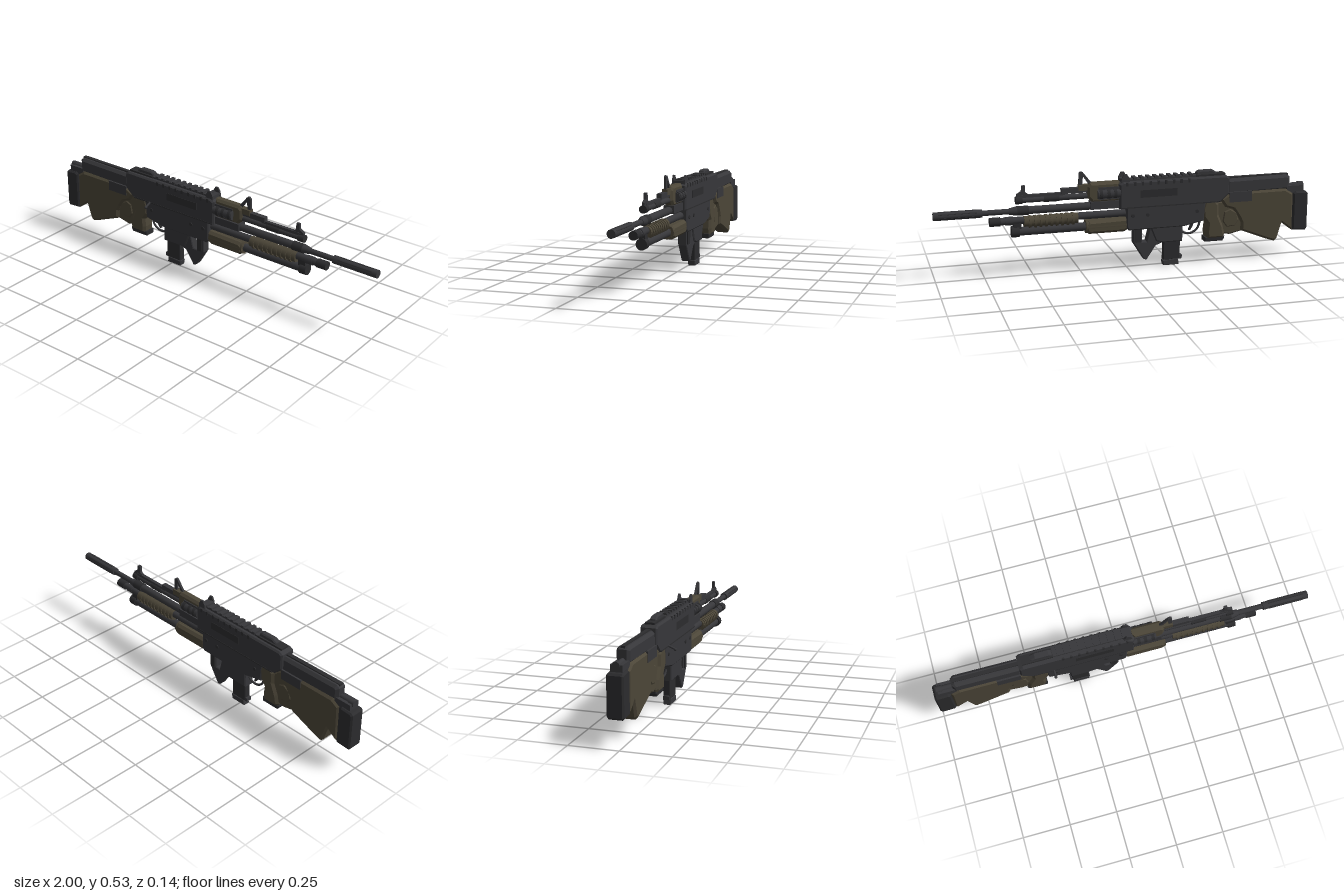
import * as THREE from 'three';

const mat = (name, color) => {
  const m = new THREE.MeshStandardMaterial({ color });
  m.name = name;
  return m;
};

export function createModel() {
  const gun = new THREE.Group();
  gun.name = 'rifle';
  const metal = mat('dark grey metal', 0x37373a);
  const black = mat('near black rubber', 0x2c2c2e);
  const olive = mat('olive brown polymer', 0x4c4638);

  const add = (name, geo, m, x = 0, y = 0, z = 0) => {
    const mesh = new THREE.Mesh(geo, m);
    mesh.name = name;
    mesh.position.set(x, y, z);
    gun.add(mesh);
    return mesh;
  };
  // Box given by its x range, y range, width and side offset
  const box = (name, m, x0, x1, y0, y1, w, z = 0) =>
    add(name, new THREE.BoxGeometry(x1 - x0, y1 - y0, w), m, (x0 + x1) / 2, (y0 + y1) / 2, z);
  // Side outline extruded across the width with chamfered edges
  const plate = (name, m, pts, w, b = 0.006, z = 0, holes = []) => {
    const shape = new THREE.Shape(pts.map(p => new THREE.Vector2(...p)));
    for (const h of holes) shape.holes.push(new THREE.Path(h.map(p => new THREE.Vector2(...p))));
    const geo = new THREE.ExtrudeGeometry(shape, {
      depth: w - 2 * b, bevelEnabled: b > 0, bevelSize: b, bevelThickness: b, bevelOffset: -b, bevelSegments: 1,
    });
    geo.translate(0, 0, -w / 2 + b);
    return add(name, geo, m, 0, 0, z);
  };
  // Cylinder lying along x, r0 at the rear and r1 at the muzzle end
  const tube = (name, m, x0, x1, y, r0, r1 = r0, z = 0, n = 14) =>
    add(name, new THREE.CylinderGeometry(r1, r0, x1 - x0, n).rotateZ(-Math.PI / 2), m, (x0 + x1) / 2, y, z);

  // Stock with butt pad
  plate('buttPad', black, [[-1, 0.15], [-0.99, 0.14], [-0.915, 0.145], [-0.915, 0.35], [-0.93, 0.36], [-0.99, 0.355], [-1, 0.345]], 0.084, 0.008);
  plate('stock', olive, [[-0.915, 0.145], [-0.855, 0.19], [-0.83, 0.105], [-0.815, 0.09], [-0.77, 0.105], [-0.62, 0.165],
    [-0.62, 0.21], [-0.605, 0.24], [-0.575, 0.285], [-0.53, 0.3], [-0.5, 0.345], [-0.56, 0.378], [-0.87, 0.378], [-0.915, 0.35]], 0.08, 0.012);
  plate('stockNeck', olive, [[-0.63, 0.16], [-0.56, 0.145], [-0.53, 0.15], [-0.47, 0.2], [-0.44, 0.33], [-0.63, 0.33]], 0.052, 0.008);
  plate('thumbRest', olive, [[-0.61, 0.22], [-0.59, 0.19], [-0.54, 0.185], [-0.515, 0.22], [-0.525, 0.275], [-0.56, 0.29], [-0.6, 0.265]], 0.062, 0.008);
  box('stockSidePanel', metal, -0.675, -0.55, 0.325, 0.38, 0.084);
  plate('cheekPiece', metal, [[-0.895, 0.37], [-0.54, 0.365], [-0.54, 0.448], [-0.88, 0.452], [-0.897, 0.44]], 0.066, 0.014);
  box('cheekRidge', black, -0.89, -0.55, 0.445, 0.456, 0.02);
  box('stockRearRail', metal, -0.975, -0.88, 0.35, 0.39, 0.06);
  tube('stockRearCap', metal, -0.98, -0.95, 0.387, 0.018);
  tube('stockRearRod', metal, -0.95, -0.89, 0.387, 0.014);

  // Pistol grip
  plate('grip', olive, [[-0.53, 0.15], [-0.52, 0.13], [-0.43, 0.13], [-0.425, 0.17], [-0.43, 0.215], [-0.405, 0.25], [-0.4, 0.3],
    [-0.415, 0.345], [-0.47, 0.35], [-0.495, 0.32], [-0.495, 0.26], [-0.52, 0.2]], 0.078, 0.014);
  plate('gripBase', black, [[-0.53, 0.13], [-0.52, 0.115], [-0.42, 0.115], [-0.42, 0.14], [-0.53, 0.14]], 0.062, 0.004);

  // Receiver
  plate('upperReceiver', metal, [[-0.55, 0.375], [-0.5, 0.33], [0.05, 0.33], [0.05, 0.46], [0.03, 0.472], [-0.53, 0.472], [-0.55, 0.46]], 0.087, 0.008);
  plate('lowerReceiver', metal, [[-0.42, 0.35], [-0.41, 0.235], [-0.3, 0.212], [0, 0.212], [0.012, 0.23], [0.012, 0.35]], 0.078, 0.006);
  box('receiverSeam', black, -0.49, 0.045, 0.332, 0.338, 0.09);
  plate('ejectionCover', black, [[-0.26, 0.385], [-0.06, 0.385], [-0.06, 0.425], [-0.26, 0.425]], 0.09, 0);
  box('receiverBridge', metal, -0.09, 0.2, 0.335, 0.375, 0.055);
  for (const x of [-0.37, -0.1, -0.02]) {
    add('receiverPin', new THREE.CylinderGeometry(0.01, 0.01, 0.086, 10).rotateX(Math.PI / 2), black, x, 0.29);
  }

  // Top rail
  box('railBase', metal, -0.42, 0.03, 0.468, 0.481, 0.045);
  for (let i = 0; i < 10; i++) box('railTooth', metal, -0.35 + i * 0.038, -0.332 + i * 0.038, 0.478, 0.49, 0.052);
  for (let i = 0; i < 9; i++) box('railSideRib', black, -0.33 + i * 0.042, -0.318 + i * 0.042, 0.45, 0.47, 0.09);
  plate('rearSightBlock', metal, [[-0.485, 0.465], [-0.365, 0.465], [-0.375, 0.495], [-0.39, 0.502], [-0.46, 0.502], [-0.485, 0.488]], 0.034, 0.006);
  box('rearSightFoot', black, -0.53, -0.37, 0.465, 0.482, 0.05);

  // Sight ears
  for (const s of [-1, 1]) {
    plate('sightEar', metal, [[-0.005, 0.46], [0.04, 0.46], [0.038, 0.49], [0.025, 0.512], [0.01, 0.512], [-0.003, 0.49]], 0.009, 0, s * 0.031);
  }
  box('sightBridge', metal, -0.003, 0.038, 0.468, 0.486, 0.062);

  // Gas block housing with side lamps
  plate('frontHousing', olive, [[0.045, 0.37], [0.19, 0.37], [0.215, 0.4], [0.215, 0.455], [0.2, 0.474], [0.045, 0.474]], 0.05, 0.012);
  for (const s of [-1, 1]) {
    tube('sideLamp', metal, 0.045, 0.165, 0.415, 0.024, 0.024, s * 0.026, 8);
    for (const x of [0.065, 0.1, 0.14]) tube('sideLampRing', black, x, x + 0.016, 0.415, 0.029, 0.029, s * 0.022, 8);
  }
  box('lampMount', metal, 0.04, 0.16, 0.385, 0.45, 0.06);

  // Folding sight arm in front of the housing
  plate('sightArm', metal, [[0.18, 0.462], [0.205, 0.465], [0.235, 0.51], [0.24, 0.462], [0.258, 0.462], [0.256, 0.525], [0.247, 0.534], [0.235, 0.53], [0.2, 0.485]], 0.012, 0);
  box('sightArmBase', olive, 0.19, 0.26, 0.435, 0.465, 0.03);

  // Gas tube and front sight
  box('gasTubeBlock', metal, 0.2, 0.35, 0.425, 0.452, 0.026);
  tube('gasTube', metal, 0.19, 0.58, 0.405, 0.015);
  tube('gasTubeCollar', black, 0.36, 0.44, 0.405, 0.018);
  tube('gasTubeTip', black, 0.55, 0.585, 0.405, 0.02);
  box('gasTubeTop', metal, 0.33, 0.56, 0.418, 0.432, 0.018);
  plate('frontSight', metal, [[0.52, 0.41], [0.58, 0.41], [0.58, 0.435], [0.555, 0.45], [0.552, 0.48], [0.535, 0.48], [0.535, 0.445], [0.52, 0.435]], 0.014, 0);

  // Barrel and long muzzle sleeve
  tube('barrel', metal, 0.04, 0.52, 0.35, 0.02);
  tube('barrelCollar', black, 0.52, 0.58, 0.35, 0.024);
  tube('barrelStep', metal, 0.58, 0.62, 0.35, 0.024, 0.016);
  tube('barrelFront', metal, 0.62, 0.76, 0.35, 0.014);
  tube('muzzleSleeve', metal, 0.755, 1, 0.35, 0.021);
  for (let i = 0; i < 6; i++) {
    const a = i * Math.PI / 3;
    add('sleeveRib', new THREE.BoxGeometry(0.19, 0.005, 0.005), black, 0.88, 0.35 + 0.0195 * Math.cos(a), 0.0195 * Math.sin(a)).rotation.x = a;
  }

  // Under tube with ribbed shroud
  tube('middleTube', metal, 0, 0.67, 0.3, 0.019);
  tube('middleTubeCollar', metal, 0.6, 0.64, 0.3, 0.022);
  tube('middleTubeTip', black, 0.665, 0.72, 0.3, 0.023);
  tube('ribbedShroud', olive, 0.265, 0.545, 0.292, 0.028, 0.028, 0, 12);
  for (let i = 0; i < 9; i++) tube('shroudRib', olive, 0.285 + i * 0.028, 0.297 + i * 0.028, 0.29, 0.033, 0.033, 0, 12);

  // Lowest tube with sliding handguard
  tube('lowerTube', metal, 0.2, 0.58, 0.242, 0.022);
  tube('lowerTubeTip', black, 0.57, 0.61, 0.242, 0.029);
  box('tubeClamp', black, 0.56, 0.6, 0.24, 0.31, 0.03);
  tube('handguardCore', olive, 0.01, 0.225, 0.243, 0.037, 0.037, 0, 8);
  plate('handguard', olive, [[0, 0.22], [0.02, 0.206], [0.21, 0.206], [0.226, 0.22], [0.226, 0.26], [0.21, 0.275], [0, 0.28]], 0.07, 0.014);

  // Magazine, wedge foregrip and its strut
  plate('magazineWell', metal, [[-0.295, 0.13], [-0.19, 0.13], [-0.15, 0.14], [-0.12, 0.215], [-0.12, 0.24], [-0.295, 0.24]], 0.062, 0.006);
  plate('magazine', black, [[-0.285, 0.03], [-0.195, 0.03], [-0.195, 0.15], [-0.285, 0.15]], 0.036, 0.003);
  plate('magazineBase', metal, [[-0.28, 0], [-0.195, 0], [-0.19, 0.028], [-0.275, 0.034]], 0.04, 0.003);
  box('magazineLip', metal, -0.297, -0.28, 0.03, 0.05, 0.03);
  plate('wedgeGrip', metal, [[-0.19, 0.13], [-0.15, 0.115], [-0.1, 0.04], [-0.085, 0.045], [-0.03, 0.135], [-0.03, 0.26], [-0.075, 0.26],
    [-0.075, 0.14], [-0.1, 0.14], [-0.12, 0.22], [-0.19, 0.22]], 0.046, 0.004);
  box('gripStrut', black, -0.07, -0.04, 0.14, 0.27, 0.056);

  // Trigger and guard
  const guard = new THREE.CatmullRomCurve3([[-0.4, 0.225], [-0.385, 0.185], [-0.35, 0.163], [-0.31, 0.168], [-0.29, 0.19]].map(p => new THREE.Vector3(p[0], p[1], 0)));
  add('triggerGuard', new THREE.TubeGeometry(guard, 14, 0.006, 6), metal);
  plate('trigger', black, [[-0.365, 0.235], [-0.34, 0.235], [-0.345, 0.205], [-0.335, 0.18], [-0.345, 0.18], [-0.36, 0.205]], 0.012, 0);

  // Bolt lever reaching out on the front side
  const lever = new THREE.LineCurve3(new THREE.Vector3(-0.378, 0.338, 0.035), new THREE.Vector3(-0.378, 0.319, 0.081));
  add('boltLever', new THREE.TubeGeometry(lever, 1, 0.006, 8), metal);
  add('boltLeverKnob', new THREE.SphereGeometry(0.008, 8, 6), metal, -0.378, 0.319, 0.077);

  // Shift the centre plane so the lever and body balance about z = 0
  for (const part of gun.children) part.position.z -= 0.018;
  return gun;
}
